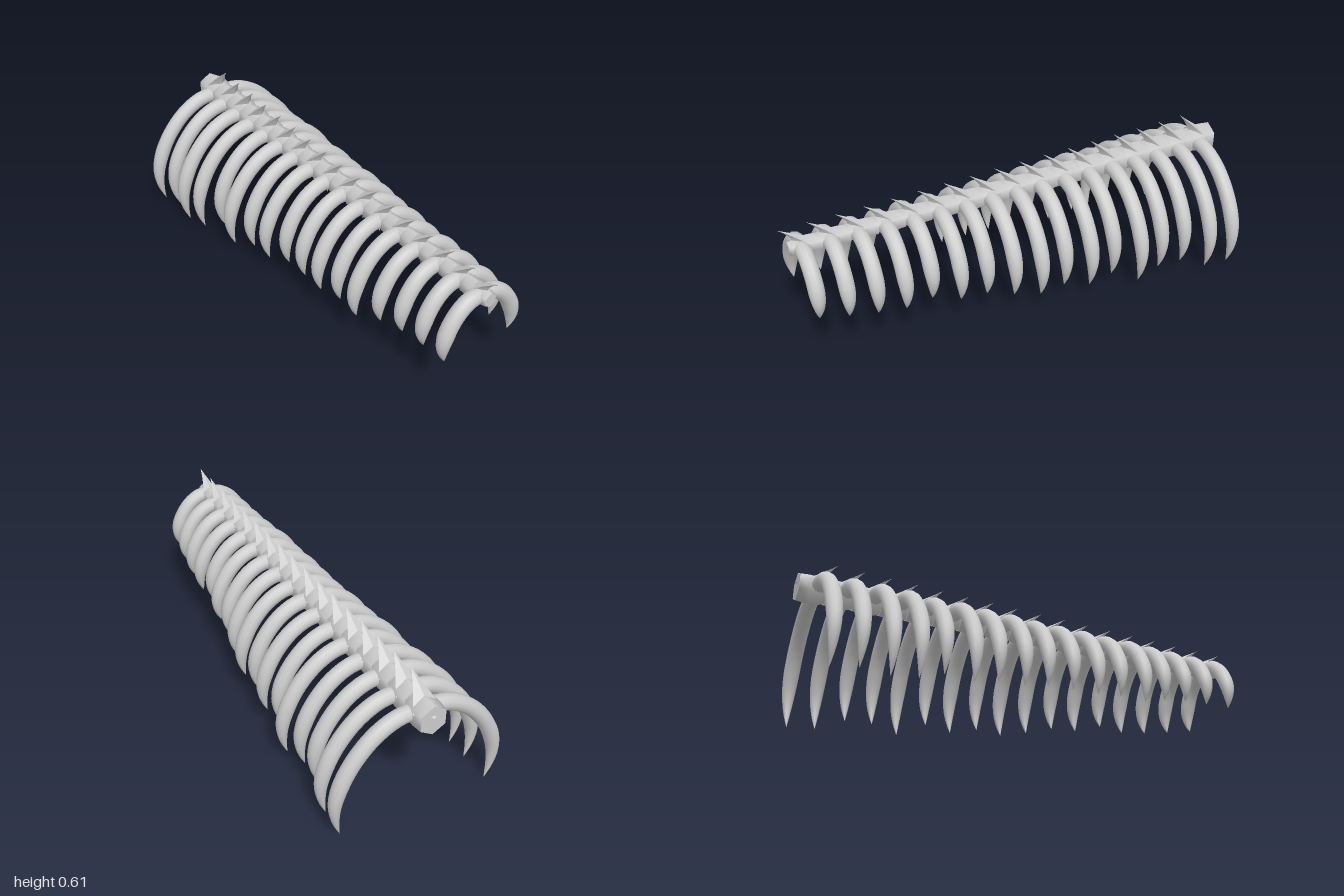
import * as THREE from 'three';
import { toCreasedNormals } from 'three/addons/utils/BufferGeometryUtils.js';

const V = (x, y, z) => new THREE.Vector3(x, y, z);
const material = new THREE.MeshStandardMaterial({ color: 0xcccccc });
const COUNT = 17;
const AXIS_Y = 0.482;
// outer reach of each rib, rear to front, slightly uneven like real bone
const REACH_RIGHT = [.38, .362, .375, .36, .315, .335, .302, .297, .27, .267, .267, .252, .257, .224, .208, .2, .197];
const REACH_LEFT = [.376, .37, .335, .332, .35, .31, .32, .3, .305, .285, .261, .255, .23, .236, .226, .212, .196];

// skins a list of equal-sized rings and closes both ends
function loft(rings, crease) {
  const n = rings[0].length, pos = [], index = [];
  rings.forEach((r) => r.forEach((p) => pos.push(p.x, p.y, p.z)));
  for (let i = 0; i < rings.length - 1; i++) {
    for (let j = 0; j < n; j++) {
      const a = i * n + j, b = i * n + (j + 1) % n;
      index.push(a, b, b + n, a, b + n, a + n);
    }
  }
  const last = (rings.length - 1) * n;
  for (let j = 1; j < n - 1; j++) {
    index.push(0, j + 1, j, last, last + j, last + j + 1);
  }
  const g = new THREE.BufferGeometry();
  g.setAttribute('position', new THREE.Float32BufferAttribute(pos, 3));
  g.setIndex(index);
  return toCreasedNormals(g, crease);
}

function mesh(name, geometry) {
  const m = new THREE.Mesh(geometry, material);
  m.name = name;
  return m;
}

// hexagonal body, wide at the back and narrow at the front
function vertebraBody(s) {
  const profile = [[-0.08, 0.93], [-0.035, 1], [0.005, 0.97], [0.035, 0.8], [0.05, 0.7]];
  const rings = profile.map(([z, k]) => {
    const ring = [];
    for (let j = 0; j < 6; j++) {
      const a = Math.PI / 6 + j * Math.PI / 3;
      ring.push(V(Math.cos(a) * s * k * 1.12, AXIS_Y + Math.sin(a) * s * k * 1.15, z));
    }
    return ring;
  });
  return loft(rings, 1.15);
}

// spike on top: a diamond-section blade swept forward to a sharp tip
function vertebraSpike(s) {
  const base = AXIS_Y + s * 0.3, tip = AXIS_Y + 0.025 + s * 1.85;
  const levels = [0, 0.25, 0.5, 0.75, 0.92, 1];
  const rings = levels.map((t) => {
    const y = base + (tip - base) * t;
    const w = s * 1.02 * Math.pow(1 - t, 1.1) + 0.0005;
    const back = -0.09 + 0.168 * Math.pow(t, 0.9);
    const front = 0.025 + 0.055 * t * t;
    const mid = back * 0.55 + front * 0.45;
    return [V(w, y, mid), V(0, y, back), V(-w, y, mid), V(0, y, front)];
  });
  return loft(rings, 0.6);
}

// rib: round tube along a hooked arc, pointed at the free end
function rib(reach, side) {
  const kx = (reach - 0.03) / 0.35, ky = reach / 0.38;
  const arc = [[0.1, 0.008], [0.19, 0.053], [0.27, 0.133], [0.325, 0.228], [0.35, 0.32], [0.347, 0.4], [0.328, 0.474]];
  const points = [V(0, AXIS_Y, 0), ...arc.map(([x, d]) => V(side * x * kx, AXIS_Y - d * ky, 0))];
  const curve = new THREE.CatmullRomCurve3(points);
  const steps = 26, sides = 12, rings = [];
  const B = V(0, 0, 1);
  for (let i = 0; i <= steps; i++) {
    const t = i / steps;
    const p = curve.getPointAt(t), T = curve.getTangentAt(t);
    const N = B.clone().cross(T);
    const taper = Math.max(0, (t - 0.6) / 0.4);
    const r = 0.0325 * (1 - Math.pow(taper, 1.9)) + 0.0005;
    const ring = [];
    for (let j = 0; j < sides; j++) {
      const a = j / sides * Math.PI * 2;
      ring.push(p.clone().addScaledVector(N, Math.cos(a) * r).addScaledVector(B, Math.sin(a) * r));
    }
    rings.push(ring);
  }
  return loft(rings, 1);
}

export function createModel() {
  const model = new THREE.Group();
  model.name = 'ribbedSpine';
  for (let i = 0; i < COUNT; i++) {
    const f = i / (COUNT - 1);
    const s = THREE.MathUtils.lerp(0.058, 0.036, f);
    const segment = new THREE.Group();
    segment.name = `segment${i + 1}`;
    segment.position.z = THREE.MathUtils.lerp(-0.92, 0.92, f);
    segment.add(
      mesh('vertebraBody', vertebraBody(s)),
      mesh('vertebraSpike', vertebraSpike(s)),
      mesh('leftRib', rib(REACH_LEFT[i], 1)),
      mesh('rightRib', rib(REACH_RIGHT[i], -1)),
    );
    model.add(segment);
  }
  return model;
}
